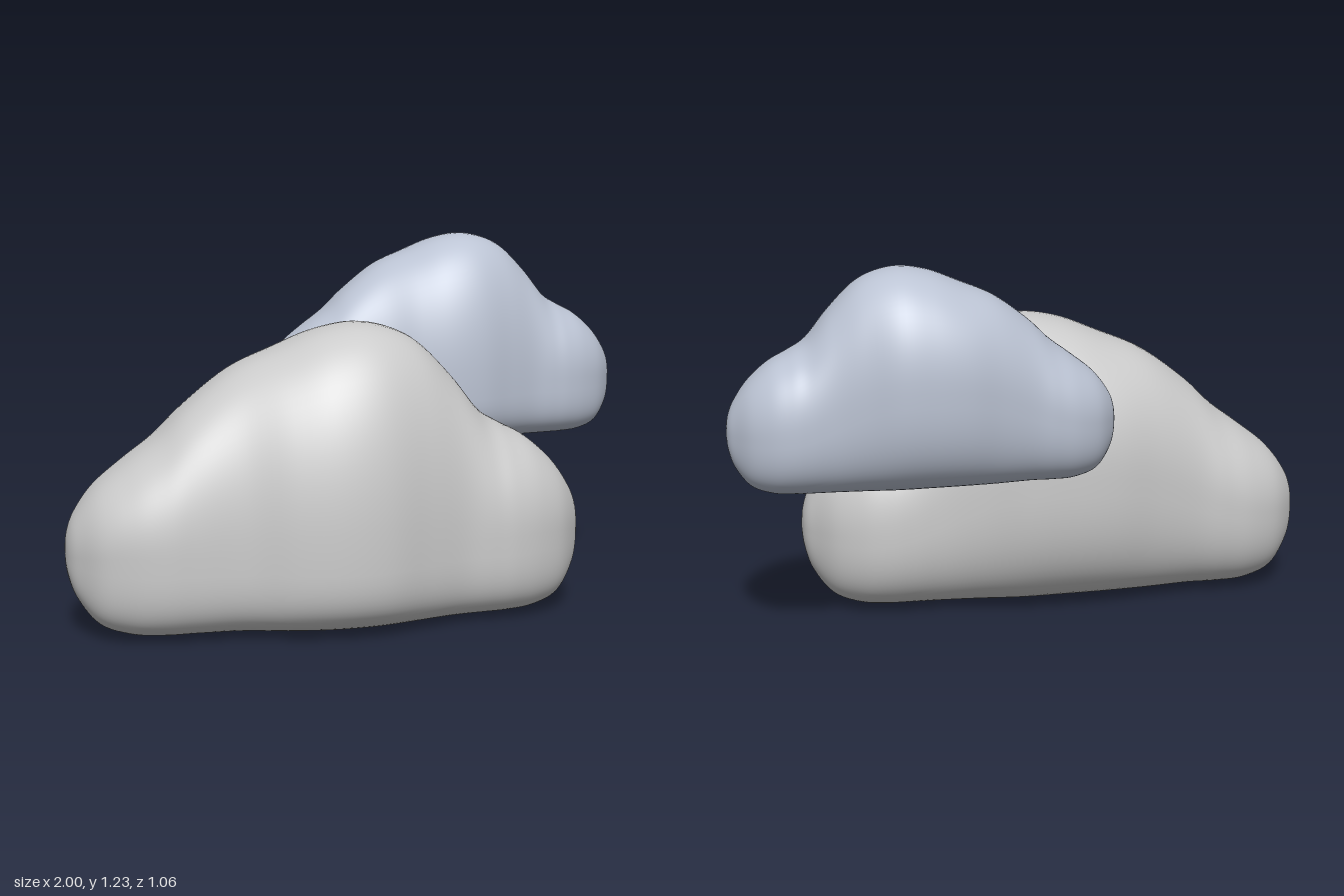
import * as THREE from 'three';

// Stations along the cloud: x, top, bottom, front z, back z, height of the back's widest point
const STATIONS = [
  [-1, 0.27, 0.27, 0.15, 0.15, 0.27],
  [-0.992, 0.34, 0.2, 0.21, 0.095, 0.27],
  [-0.965, 0.405, 0.125, 0.265, 0.035, 0.28],
  [-0.9, 0.49, 0.045, 0.345, -0.04, 0.29],
  [-0.8, 0.57, 0.012, 0.4, -0.093, 0.31],
  [-0.7, 0.645, 0.006, 0.425, -0.112, 0.34],
  [-0.6, 0.74, 0.006, 0.43, -0.122, 0.38],
  [-0.45, 0.85, 0.004, 0.443, -0.163, 0.45],
  [-0.3, 0.915, 0.003, 0.5, -0.21, 0.49],
  [-0.15, 0.972, 0.002, 0.528, -0.23, 0.5],
  [0, 0.988, 0.001, 0.515, -0.228, 0.5],
  [0.15, 0.938, 0.001, 0.458, -0.178, 0.45],
  [0.28, 0.815, 0.002, 0.413, -0.142, 0.38],
  [0.38, 0.69, 0.004, 0.405, -0.137, 0.33],
  [0.46, 0.637, 0.006, 0.4, -0.135, 0.31],
  [0.55, 0.588, 0.013, 0.373, -0.11, 0.3],
  [0.64, 0.508, 0.045, 0.32, -0.05, 0.29],
  [0.705, 0.415, 0.125, 0.245, 0.035, 0.28],
  [0.732, 0.345, 0.205, 0.19, 0.085, 0.28],
  [0.74, 0.275, 0.275, 0.14, 0.14, 0.275],
];
const RINGS = 114, SIDES = 80;

const spower = (v, n) => Math.sign(v) * Math.pow(Math.abs(v), 2 / n);

function cloudGeometry() {
  const curve = (a) => new THREE.CatmullRomCurve3(
    STATIONS.map((s) => new THREE.Vector3(s[a], s[a + 1], s[a + 2])), false, 'catmullrom', 0.5);
  const profile = curve(0), depth = curve(3);
  const pos = [], index = [];

  // Rounded sections: domed above, flatter below, with the back tucked under
  for (let i = 0; i <= RINGS; i++) {
    const p = profile.getPoint(i / RINGS), d = depth.getPoint(i / RINGS);
    const mid = (d.x + d.y) / 2, half = (d.x - d.y) / 2;
    const pole = i === 0 || i === RINGS;
    for (let j = 0; j < (pole ? 1 : SIDES); j++) {
      const a = (j / SIDES) * Math.PI * 2;
      const c = Math.cos(a), s = Math.sin(a);
      const waist = THREE.MathUtils.clamp(c < 0 ? d.z : Math.min(0.3, d.z), p.z, p.y);
      const n = s >= 0 ? 2.25 : c < 0 ? 2.6 : 3.4;
      const y = waist + spower(s, n) * (s >= 0 ? p.y - waist : waist - p.z);
      pos.push(p.x, y, mid + spower(c, n) * half);
    }
  }

  // Skin between rings, closed by a single point at each end
  const at = (i, j) => (i === 0 ? 0 : i === RINGS ? 1 + (RINGS - 1) * SIDES : 1 + (i - 1) * SIDES + (j % SIDES));
  for (let i = 0; i < RINGS; i++) {
    for (let j = 0; j < SIDES; j++) {
      if (i < RINGS - 1) index.push(at(i, j), at(i + 1, j), at(i + 1, j + 1));
      if (i > 0) index.push(at(i, j), at(i + 1, j + 1), at(i, j + 1));
    }
  }
  const g = new THREE.BufferGeometry();
  g.setAttribute('position', new THREE.Float32BufferAttribute(pos, 3));
  g.setIndex(index);
  g.computeVertexNormals();
  return g;
}

export function createModel() {
  const group = new THREE.Group();
  group.name = 'clouds';
  const geometry = cloudGeometry();

  const addCloud = (name, color, scale, x, y, z) => {
    const mesh = new THREE.Mesh(geometry, new THREE.MeshStandardMaterial({ color }));
    mesh.name = name;
    mesh.scale.setScalar(scale);
    mesh.position.set(x, y, z);
    group.add(mesh);
  };

  // Large cloud in front, smaller bluish copy raised behind it
  addCloud('largeCloud', 0xcccccc, 1, 0, 0, 0);
  addCloud('smallCloud', 0xbcc4d4, 0.723, 0.464, 0.518, -0.363);
  return group;
}
